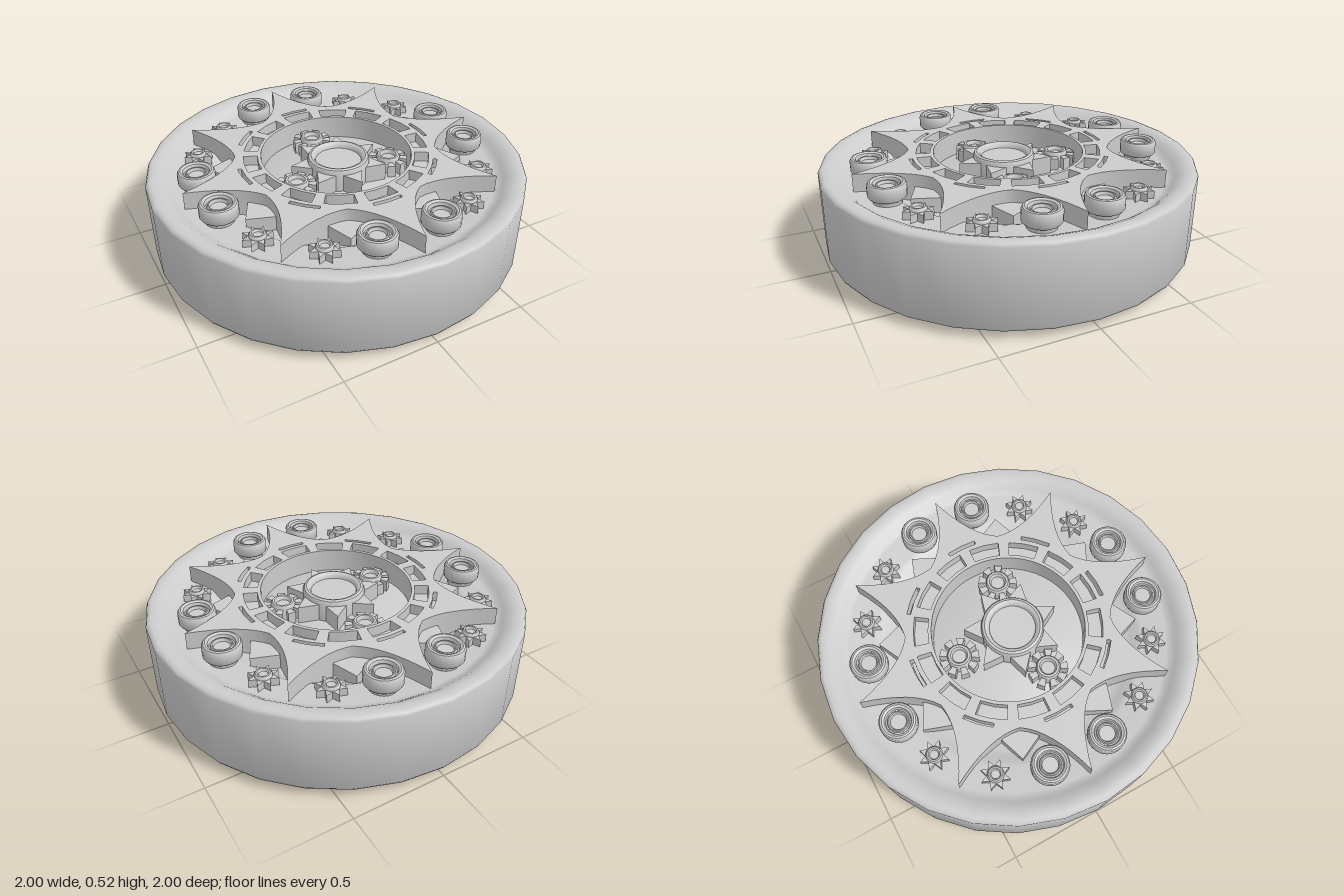
import * as THREE from 'three';
import { toCreasedNormals } from 'three/addons/utils/BufferGeometryUtils.js';

const material = new THREE.MeshStandardMaterial({ color: 0xcccccc, side: THREE.DoubleSide });
const TAU = Math.PI * 2;

function add(parent, name, geometry, x = 0, z = 0, crease = 0.7) {
  const mesh = new THREE.Mesh(toCreasedNormals(geometry, crease), material);
  mesh.name = name;
  mesh.position.set(x, 0, z);
  parent.add(mesh);
  return mesh;
}

// Revolved profile of [radius, height] pairs
function lathe(profile, segments) {
  return new THREE.LatheGeometry(profile.map(([r, y]) => new THREE.Vector2(r, y)), segments);
}

// Flat shape raised from height y0 to y1
function slab(shape, y0, y1) {
  const g = new THREE.ExtrudeGeometry(shape, { depth: y1 - y0, bevelEnabled: false, curveSegments: 8 });
  return g.rotateX(-Math.PI / 2).translate(0, y0, 0);
}

const polar = (r, a) => new THREE.Vector2(r * Math.cos(a), r * Math.sin(a));

function circle(r, n = 56) {
  return Array.from({ length: n }, (_, i) => polar(r, (i / n) * TAU));
}

// Curved slot between two radii, centred on angle a
function slot(r0, r1, a, half) {
  return new THREE.Path([
    polar(r0, a - half), polar(r0, a), polar(r0, a + half),
    polar(r1, a + half), polar(r1, a), polar(r1, a - half),
  ]);
}

function starShape(points, outer, inner, start = Math.PI / 2) {
  const corners = [];
  for (let i = 0; i < points * 2; i++) {
    corners.push(polar(i % 2 ? inner : outer, start + (i * Math.PI) / points));
  }
  return new THREE.Shape(corners);
}

// Gear outline with blocky teeth that widen outward
function gearShape(teeth, outer, inner) {
  const corners = [];
  for (let i = 0; i < teeth; i++) {
    const a = Math.PI / 2 + (i / teeth) * TAU, step = TAU / teeth;
    corners.push(polar(inner, a - step * 0.28), polar(outer, a - step * 0.3),
      polar(outer, a + step * 0.3), polar(inner, a + step * 0.28));
  }
  return new THREE.Shape(corners);
}

// Eight-pointed star whose slim arms flare into round valleys
function curvedStar(tip, valley) {
  const shape = new THREE.Shape();
  shape.moveTo(tip, 0);
  for (let i = 0; i < 8; i++) {
    const a = (i * TAU) / 8, next = a + TAU / 8, lean = 0.125;
    const c0 = polar(0.585, a + lean), v = polar(valley, a + TAU / 16);
    const c1 = polar(0.585, next - lean), p = polar(tip, next);
    shape.quadraticCurveTo(c0.x, c0.y, v.x, v.y);
    shape.quadraticCurveTo(c1.x, c1.y, p.x, p.y);
  }
  return shape;
}

export function createModel() {
  const model = new THREE.Group();
  model.name = 'ornateDisc';

  // Case: shallow recess underneath, rounded rim, outer ledge and sunken middle
  add(model, 'case', lathe([
    [0, 0.03], [0.885, 0.03], [0.897, 0.008], [0.915, 0], [0.955, 0.022], [0.99, 0.043], [1, 0.06],
    [1, 0.46], [0.993, 0.474], [0.975, 0.48],
    [0.94, 0.477], [0.91, 0.465], [0.885, 0.445], [0.86, 0.425], [0.84, 0.42],
    [0.71, 0.418], [0.69, 0.412], [0.66, 0.392], [0.62, 0.374], [0.58, 0.37],
    [0.45, 0.37], [0.42, 0.385], [0, 0.385],
  ], 28), 0, 0, 0.9);

  // Main star, pierced by the central well, fourteen windows and a slot in each arm
  const star = curvedStar(0.845, 0.535);
  star.holes.push(new THREE.Path(circle(0.4)));
  for (let i = 0; i < 14; i++) {
    star.holes.push(slot(0.418, 0.492, Math.PI / 2 + (i / 14) * TAU, 0.165));
  }
  for (let i = 0; i < 8; i++) {
    star.holes.push(slot(0.515, 0.535, (i / 8) * TAU, 0.15));
  }
  add(model, 'mainStar', slab(star, 0.365, 0.515));

  // Floor of the windows and slots
  const band = new THREE.Shape(circle(0.53));
  band.holes.push(new THREE.Path(circle(0.401)));
  add(model, 'windowFloor', slab(band, 0.365, 0.46));

  // Lower star whose points show between the main ones
  const lower = starShape(8, 0.68, 0.5, Math.PI / 8);
  lower.holes.push(new THREE.Path(circle(0.402)));
  add(model, 'lowerStar', slab(lower, 0.365, 0.45));

  // Central hub: spiked wheel under a rounded collar
  const hub = new THREE.Group();
  hub.name = 'hub';
  hub.position.z = 0.025;
  model.add(hub);
  add(hub, 'hubSpikes', slab(starShape(7, 0.255, 0.15, -Math.PI / 2), 0.38, 0.48));
  add(hub, 'hubCollar', lathe([
    [0.165, 0.38], [0.165, 0.492], [0.158, 0.505], [0.145, 0.51],
    [0.132, 0.505], [0.124, 0.492], [0.12, 0.475], [0, 0.475],
  ], 32));

  // Three planet gears around the hub
  for (const [x, z] of [[0, -0.29], [-0.275, 0.085], [0.275, 0.085]]) {
    const gear = new THREE.Group();
    gear.name = 'planetGear';
    gear.position.set(x, 0, z);
    model.add(gear);
    add(gear, 'cog', slab(gearShape(9, 0.105, 0.062), 0.38, 0.45));
    add(gear, 'cogCollar', lathe([
      [0.064, 0.38], [0.064, 0.46], [0.057, 0.47], [0.045, 0.47], [0.038, 0.46], [0.036, 0.45], [0, 0.45],
    ], 20));
  }

  // Round studs and small star gears, mirrored into all four quarters
  const stud = lathe([
    [0.07, 0.405], [0.075, 0.44], [0.09, 0.446], [0.097, 0.455], [0.097, 0.51], [0.09, 0.522], [0.08, 0.525],
    [0.068, 0.518], [0.063, 0.5], [0.056, 0.5], [0.052, 0.51], [0.046, 0.51], [0.04, 0.495], [0, 0.495],
  ], 24);
  const smallStar = slab(starShape(8, 0.077, 0.044), 0.4, 0.46);
  const smallCollar = lathe([
    [0.043, 0.4], [0.043, 0.467], [0.036, 0.477], [0.028, 0.477], [0.022, 0.465], [0, 0.465],
  ], 16);
  for (const sx of [1, -1]) {
    for (const sz of [1, -1]) {
      for (const [x, z] of [[0.175, 0.717], [0.722, 0.162]]) {
        add(model, 'roundStud', stud, sx * x, sz * z);
      }
      for (const [x, z] of [[0.4, 0.635], [0.63, 0.415]]) {
        add(model, 'smallStarGear', smallStar, sx * x, sz * z);
        add(model, 'smallGearCollar', smallCollar, sx * x, sz * z);
      }
    }
  }
  return model;
}
